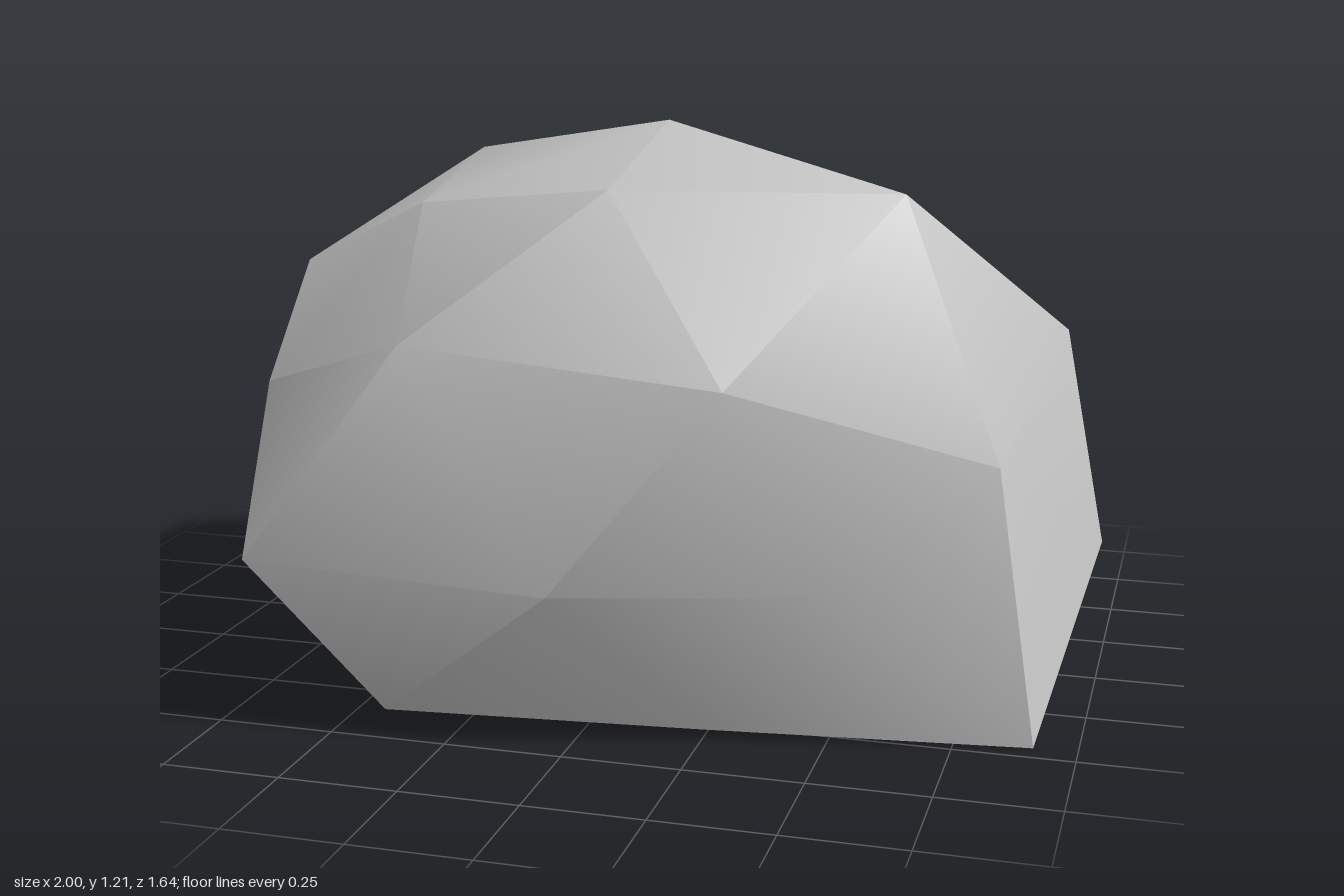
import * as THREE from 'three';
import { ConvexGeometry } from 'three/addons/geometries/ConvexGeometry.js';
import { toCreasedNormals } from 'three/addons/utils/BufferGeometryUtils.js';

// Boulder corners, ring by ring from the crown to the base
const crown = [
  [0.02, 1.21, 0], [0.02, 1.11, 0.47], [0.6, 1.1, 0.3], [0.52, 1.02, -0.25],
  [0.02, 0.99, -0.39], [-0.51, 1.11, -0.25], [-0.47, 1.04, 0.25],
];
const shoulder = [
  [0.91, 0.78, -0.01], [0.31, 0.75, 0.67], [-0.34, 0.82, 0.73], [-0.79, 0.65, 0.38],
  [-0.86, 0.86, 0], [-0.94, 0.73, -0.48], [-0.32, 0.85, -0.72], [0.18, 0.77, -0.5],
  [0.69, 0.57, -0.38],
];
const waist = [
  [1, 0.31, -0.02], [0.82, 0.57, 0.41], [0.5, 0.32, 0.57], [-0.02, 0.34, 0.78],
  [-0.65, 0.38, 0.82], [-1, 0.43, -0.02], [-0.59, 0.42, -0.77], [-0.02, 0.39, -0.82],
  [0.45, 0.36, -0.64],
];
const base = [
  [0.91, 0, 0.45], [0.25, 0.02, 0.58], [-0.39, 0.05, 0.72], [-0.72, 0.18, 0.47],
  [-0.55, 0.08, 0.23], [-0.89, 0.1, -0.03], [-0.93, 0.16, -0.48], [-0.35, 0.09, -0.68],
  [0.23, 0.06, -0.61], [0.73, 0.1, -0.41], [0.68, 0.01, -0.03],
];

// Joins the corners into a closed skin: they are rounded towards a ball so that
// every one lies on the hull, then moved back out, which keeps slight hollows.
function skin(corners, center) {
  const rounded = corners.map((c) => {
    const p = new THREE.Vector3(...c).sub(center);
    return p.multiplyScalar(1 / Math.sqrt(p.length()));
  });
  const geometry = new ConvexGeometry(rounded);
  const position = geometry.attributes.position;
  const p = new THREE.Vector3();
  for (let i = 0; i < position.count; i++) {
    p.fromBufferAttribute(position, i);
    p.multiplyScalar(p.length()).add(center);
    position.setXYZ(i, p.x, p.y, p.z);
  }
  return toCreasedNormals(geometry, 0.5);
}

export function createModel() {
  const group = new THREE.Group();
  group.name = 'rock';
  const stone = new THREE.MeshStandardMaterial({ color: 0xc6c6c6 });
  stone.name = 'grey stone';

  const corners = [...crown, ...shoulder, ...waist, ...base];
  const boulder = new THREE.Mesh(skin(corners, new THREE.Vector3(0, 0.55, 0)), stone);
  boulder.name = 'boulder';
  group.add(boulder);
  return group;
}
